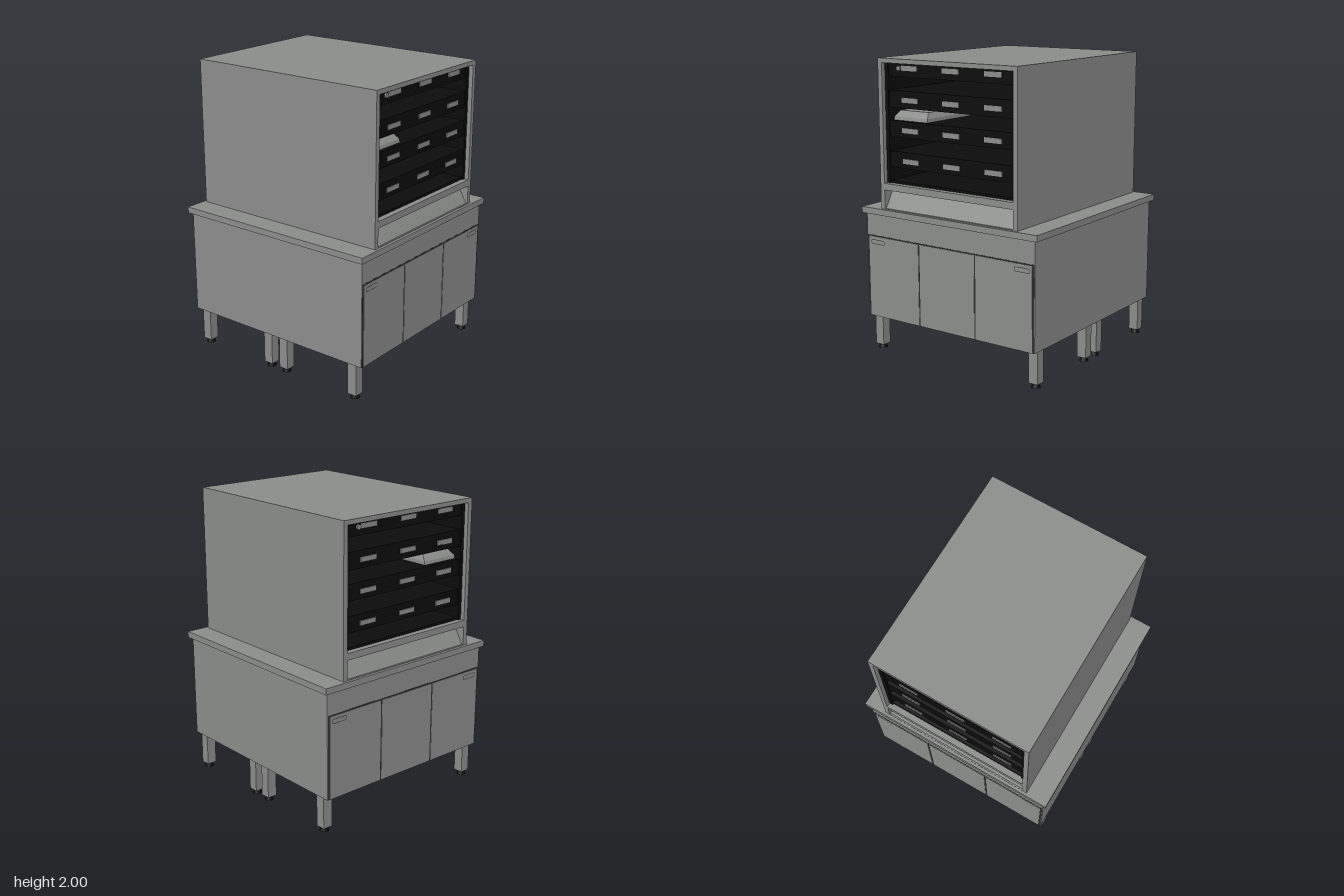
import * as THREE from 'three';

const steel = new THREE.MeshStandardMaterial({ color: 0x8a8c8a });
steel.name = 'brushedSteel';
const black = new THREE.MeshStandardMaterial({ color: 0x0b0b0b });
black.name = 'black';
const seam = new THREE.MeshStandardMaterial({ color: 0x303130 });
seam.name = 'doorSeam';

function add(parent, name, geometry, material, x = 0, y = 0, z = 0) {
  const mesh = new THREE.Mesh(geometry, material);
  mesh.name = name;
  mesh.position.set(x, y, z);
  parent.add(mesh);
  return mesh;
}

// Box given by its limits on each axis
function box(parent, name, material, [x0, x1], [y0, y1], [z0, z1]) {
  return add(parent, name, new THREE.BoxGeometry(x1 - x0, y1 - y0, z1 - z0), material,
    (x0 + x1) / 2, (y0 + y1) / 2, (z0 + z1) / 2);
}

function rectPath(Type, x0, x1, y0, y1) {
  const p = new Type();
  p.moveTo(x0, y0);
  p.lineTo(x1, y0);
  p.lineTo(x1, y1);
  p.lineTo(x0, y1);
  p.closePath();
  return p;
}

function pillShape(w, h) {
  const s = new THREE.Shape(), r = h * 0.4, a = w / 2, b = h / 2;
  s.moveTo(-a + r, -b);
  s.lineTo(a - r, -b);
  s.quadraticCurveTo(a, -b, a, -b + r);
  s.lineTo(a, b - r);
  s.quadraticCurveTo(a, b, a - r, b);
  s.lineTo(-a + r, b);
  s.quadraticCurveTo(-a, b, -a, b - r);
  s.lineTo(-a, -b + r);
  s.quadraticCurveTo(-a, -b, -a + r, -b);
  return s;
}

// Box whose top face is shrunk in x and z
function taperedBox(w, h, d, sx, sz) {
  const g = new THREE.BoxGeometry(w, h, d).toNonIndexed();
  const p = g.attributes.position;
  for (let i = 0; i < p.count; i++) {
    if (p.getY(i) > 0) p.setXYZ(i, p.getX(i) * sx, p.getY(i), p.getZ(i) * sz);
  }
  g.computeVertexNormals();
  return g;
}

// Details shared by the two service sides
function serviceSide() {
  const side = new THREE.Group();
  side.name = 'serviceSide';

  // Doors over a dark seam plate
  box(side, 'doorSeams', seam, [-0.675, 0.675], [0.25, 0.815], [0.715, 0.721]);
  for (const [x0, x1] of [[-0.662, -0.235], [-0.225, 0.22], [0.23, 0.662]]) {
    box(side, 'door', steel, [x0, x1], [0.25, 0.806], [0.716, 0.724]);
  }
  for (const s of [-1, 1]) {
    add(side, 'doorHandleRim', new THREE.ShapeGeometry(pillShape(0.116, 0.032)), seam, s * 0.585, 0.77, 0.7245);
    add(side, 'doorHandle', new THREE.ShapeGeometry(pillShape(0.108, 0.024)), steel, s * 0.585, 0.77, 0.725);
  }

  // Sloped plate below the shelves
  const slope = add(side, 'slopedPlate', new THREE.BoxGeometry(1.03, 0.15, 0.006), steel, 0, 1.072, 0.67);
  slope.rotation.x = -Math.atan2(0.08, 0.135);

  // Label holders on the shelf fronts
  for (const y of [1.939, 1.734, 1.537, 1.335]) {
    for (const x of [-0.317, 0.016, 0.344]) {
      box(side, 'labelHolder', steel, [x - 0.066, x + 0.066], [y - 0.016, y + 0.016], [0.68, 0.686]);
    }
  }
  const knob = add(side, 'switchKnob', new THREE.CylinderGeometry(0.016, 0.016, 0.012, 20), steel, -0.403, 1.937, 0.686);
  knob.rotation.x = Math.PI / 2;
  return side;
}

export function createModel() {
  const model = new THREE.Group();
  model.name = 'heatedPassThroughCounter';

  // Base cabinet: side walls, end walls and a slightly raised floor
  const base = new THREE.Group();
  base.name = 'baseCabinet';
  model.add(base);
  for (const s of [-1, 1]) {
    add(base, 'sideWall', new THREE.BoxGeometry(0.02, 0.71, 1.44), steel, s * 0.67, 0.605, 0);
    add(base, 'endWall', new THREE.BoxGeometry(1.32, 0.71, 0.02), steel, 0, 0.605, s * 0.71);
  }
  box(base, 'floor', steel, [-0.66, 0.66], [0.26, 0.28], [-0.7, 0.7]);
  box(model, 'countertop', steel, [-0.705, 0.705], [0.963, 1.005], [-0.74, 0.74]);

  // Upper housing, open from front to back
  const outline = rectPath(THREE.Shape, -0.55, 0.55, 1.0, 2.0);
  outline.holes.push(rectPath(THREE.Path, -0.517, 0.517, 1.18, 1.97));
  outline.holes.push(rectPath(THREE.Path, -0.517, 0.517, 1.01, 1.135));
  const housing = new THREE.ExtrudeGeometry(outline, { depth: 1.44, bevelEnabled: false });
  add(model, 'upperHousing', housing, steel, 0, 0, -0.72);

  // Black lining and heated shelves
  const shelves = new THREE.Group();
  shelves.name = 'heatedShelves';
  model.add(shelves);
  for (const s of [-1, 1]) {
    add(shelves, 'lining', new THREE.BoxGeometry(0.026, 0.789, 1.38), black, s * 0.504, 1.575, 0);
  }
  for (const y of [[1.883, 1.9695], [1.681, 1.793], [1.489, 1.596], [1.287, 1.394], [1.1805, 1.197]]) {
    box(shelves, 'shelf', black, [-0.492, 0.492], y, [-0.68, 0.68]);
  }

  // Long covered tray on one shelf
  const tray = new THREE.Group();
  tray.name = 'coveredTray';
  tray.position.set(-0.343, 0, 0);
  model.add(tray);
  add(tray, 'trayBody', taperedBox(0.28, 0.024, 1.3, 0.99, 0.99), steel, 0, 1.608, 0);
  add(tray, 'trayLid', taperedBox(0.278, 0.038, 1.29, 0.84, 0.94), steel, 0, 1.638, 0);

  // Both service sides are alike, turned half round
  const front = serviceSide();
  const back = serviceSide();
  back.rotation.y = Math.PI;
  model.add(front, back);

  // Square legs on adjustable feet
  for (const x of [-0.637, 0.637]) {
    for (const z of [-0.64, -0.067, 0.067, 0.64]) {
      const leg = new THREE.Group();
      leg.name = 'leg';
      leg.position.set(x, 0, z);
      add(leg, 'legPost', new THREE.BoxGeometry(0.068, 0.232, 0.068), steel, 0, 0.146, 0);
      add(leg, 'foot', new THREE.CylinderGeometry(0.022, 0.031, 0.03, 16), black, 0, 0.015, 0);
      model.add(leg);
    }
  }
  return model;
}
